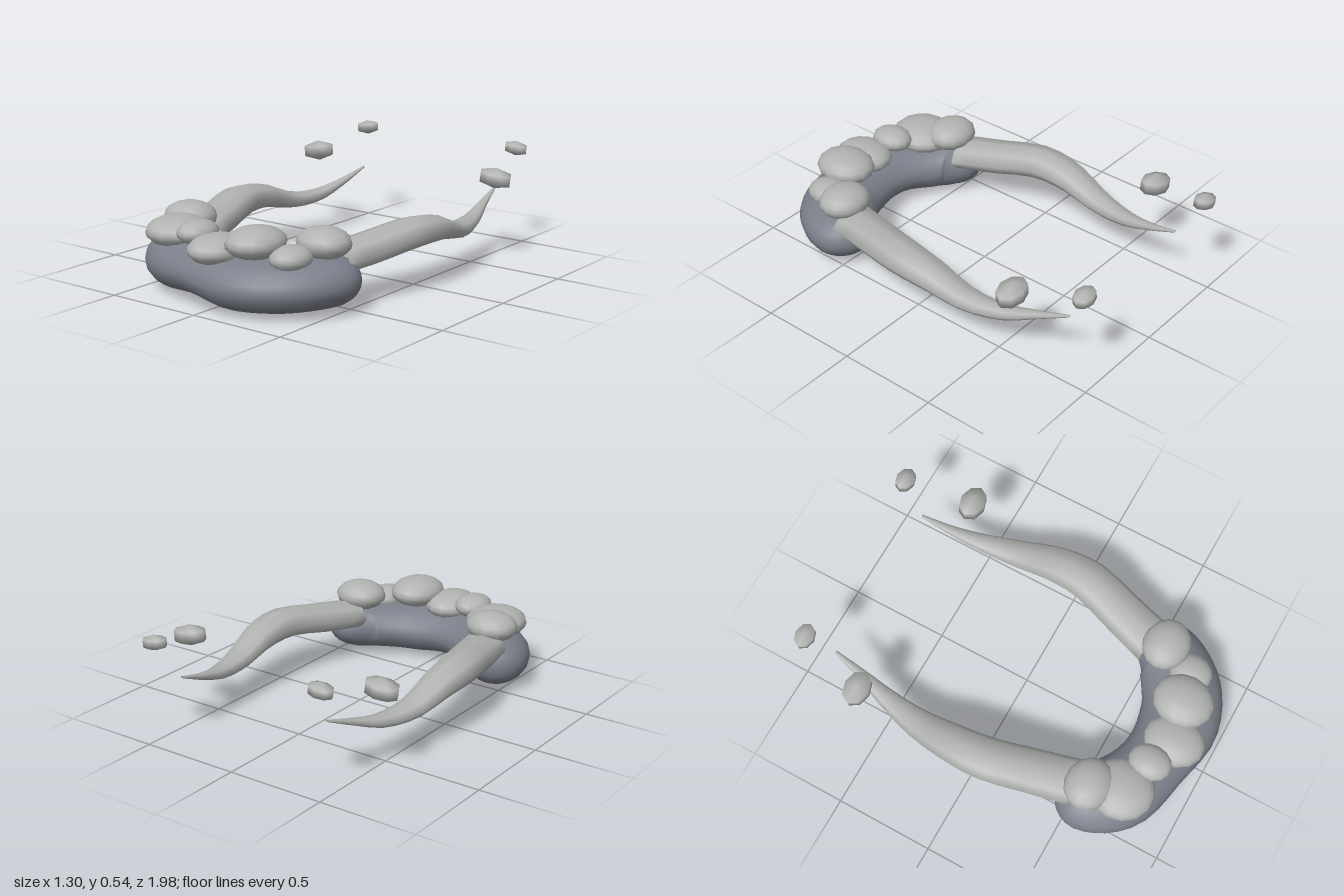
import * as THREE from 'three';

const lightStone = new THREE.MeshStandardMaterial({ color: 0xb0b3b0, side: THREE.DoubleSide });
const darkStone = new THREE.MeshStandardMaterial({ color: 0x7b7f8a });

// Sweeps an elliptical section along stations [x, y, z, halfWidth, halfHeight].
function sweep(stations, rows, sides, rounded) {
  const path = new THREE.CatmullRomCurve3(stations.map(s => new THREE.Vector3(s[0], s[1], s[2])));
  const size = new THREE.CatmullRomCurve3(stations.map(s => new THREE.Vector3(s[3], s[4], 0)));
  const up = new THREE.Vector3(0, 1, 0);
  const positions = [], index = [];
  for (let i = 0; i <= rows; i++) {
    const u = i / rows;
    // rounded ends: rows crowd towards the tips, where the section closes as a dome
    const t = rounded ? 0.5 - 0.5 * Math.cos(Math.PI * u) : u;
    const edge = Math.min(1, Math.min(t, 1 - t) / 0.13);
    const k = rounded ? Math.max(0.001, Math.sqrt(1 - (1 - edge) ** 2)) : 1;
    const c = path.getPoint(t), r = size.getPoint(t);
    const side = up.clone().cross(path.getTangent(t)).normalize();
    for (let j = 0; j < sides; j++) {
      const a = (j / sides) * Math.PI * 2;
      const p = c.clone().addScaledVector(side, Math.cos(a) * r.x * k).addScaledVector(up, Math.sin(a) * r.y * k);
      positions.push(p.x, p.y, p.z);
      if (i < rows) {
        const n = (j + 1) % sides, b = i * sides, d = b + sides;
        index.push(b + j, b + n, d + j, b + n, d + n, d + j);
      }
    }
  }
  const g = new THREE.BufferGeometry();
  g.setAttribute('position', new THREE.Float32BufferAttribute(positions, 3));
  g.setIndex(index);
  g.computeVertexNormals();
  return g;
}

export function createModel() {
  const model = new THREE.Group();
  const add = (name, geometry, material) => {
    const mesh = new THREE.Mesh(geometry, material);
    mesh.name = name;
    model.add(mesh);
    return mesh;
  };

  // Dark lumpy crescent
  add('crescentBase', sweep([
    [-0.44, 0.14, 0.41, 0.13, 0.12],
    [-0.425, 0.14, 0.57, 0.175, 0.13],
    [-0.33, 0.135, 0.69, 0.19, 0.134],
    [-0.11, 0.14, 0.77, 0.17, 0.112],
    [0.13, 0.13, 0.785, 0.2, 0.127],
    [0.29, 0.133, 0.72, 0.2, 0.126],
    [0.415, 0.14, 0.58, 0.175, 0.12],
    [0.445, 0.145, 0.41, 0.13, 0.11],
  ], 40, 20, true), darkStone);

  // Rounded puffs on the crescent: x, y, z, radii
  const puffs = [
    [-0.41, 0.312, 0.565, 0.135, 0.075, 0.12],
    [-0.35, 0.28, 0.71, 0.155, 0.076, 0.165],
    [-0.175, 0.312, 0.77, 0.09, 0.057, 0.11],
    [-0.01, 0.27, 0.82, 0.13, 0.07, 0.155],
    [0.175, 0.32, 0.77, 0.135, 0.075, 0.155],
    [0.345, 0.265, 0.73, 0.095, 0.06, 0.11],
    [0.4, 0.312, 0.565, 0.135, 0.075, 0.12],
  ];
  for (const [x, y, z, rx, ry, rz] of puffs) {
    const puff = add('puff', new THREE.SphereGeometry(1, 14, 10), lightStone);
    puff.position.set(x, y, z);
    puff.scale.set(rx, ry, rz);
  }

  for (const s of [-1, 1]) {
    const label = s > 0 ? 'left' : 'right';

    // Tapering wavy trail
    add(label + 'Trail', sweep([
      [s * 0.41, 0.222, 0.5, 0.12, 0.07],
      [s * 0.465, 0.245, 0.3, 0.115, 0.075],
      [s * 0.53, 0.277, 0.06, 0.11, 0.073],
      [s * 0.535, 0.26, -0.13, 0.097, 0.062],
      [s * 0.515, 0.205, -0.33, 0.075, 0.043],
      [s * 0.48, 0.205, -0.52, 0.05, 0.032],
      [s * 0.445, 0.25, -0.68, 0.027, 0.018],
      [s * 0.42, 0.307, -0.84, 0.008, 0.005],
    ], 18, 8, false), lightStone);

    // Small faceted puffs drifting behind
    for (const [x, y, z, rx, ry, rz] of [
      [0.56, 0.418, -0.62, 0.1, 0.053, 0.073],
      [0.475, 0.505, -0.953, 0.072, 0.038, 0.054],
    ]) {
      const bit = add(label + 'DriftingPuff', new THREE.SphereGeometry(1, 8, 3), lightStone);
      bit.position.set(s * x, y, z);
      bit.scale.set(rx, ry, rz);
      bit.rotation.z = -s * 0.12;
    }
  }
  return model;
}
